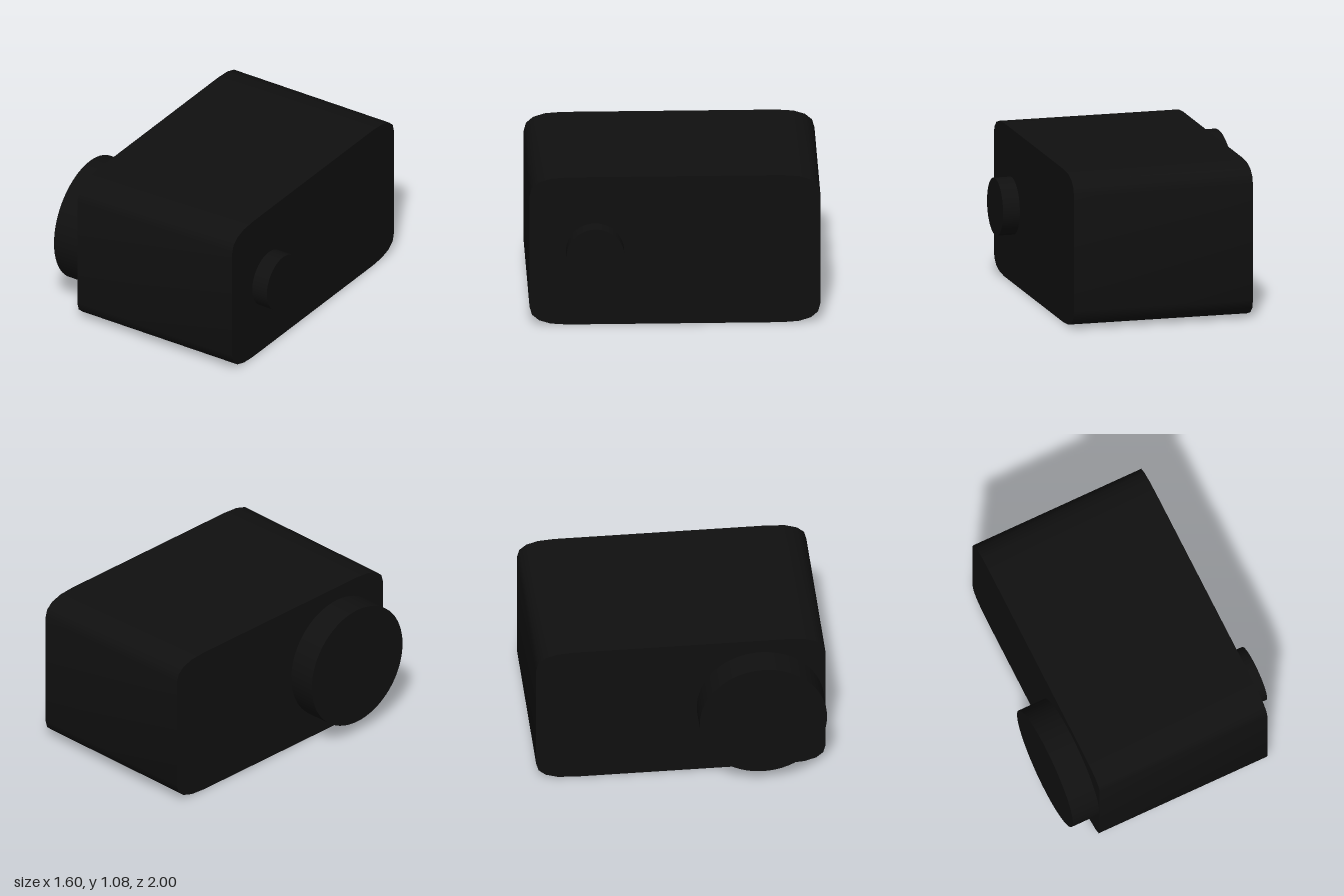
import * as THREE from 'three';
import { toCreasedNormals } from 'three/addons/utils/BufferGeometryUtils.js';

const black = new THREE.MeshStandardMaterial({ color: 0x101010 });

// Box with rounded long edges, running along x from x0 to x1
function bodyGeometry(x0, x1, height, halfDepth) {
  const cz = 0.26, cy = 0.135; // corner size along z and y
  const s = new THREE.Shape();
  s.moveTo(-halfDepth + cz, 0);
  s.lineTo(halfDepth - cz, 0);
  s.quadraticCurveTo(halfDepth, 0, halfDepth, cy);
  s.lineTo(halfDepth, height - cy);
  s.quadraticCurveTo(halfDepth, height, halfDepth - cz, height);
  s.lineTo(-halfDepth + cz, height);
  s.quadraticCurveTo(-halfDepth, height, -halfDepth, height - cy);
  s.lineTo(-halfDepth, cy);
  s.quadraticCurveTo(-halfDepth, 0, -halfDepth + cz, 0);
  const g = new THREE.ExtrudeGeometry(s, { depth: x1 - x0, bevelEnabled: false, curveSegments: 4 });
  g.rotateY(Math.PI / 2);
  g.translate(x0, 0, 0);
  return toCreasedNormals(g, 0.7);
}

// Disc with its axis along x, level with the middle of the body
function disc(name, x0, x1, radius) {
  const g = new THREE.CylinderGeometry(radius, radius, x1 - x0, 64);
  g.rotateZ(Math.PI / 2);
  const mesh = new THREE.Mesh(g, black);
  mesh.position.set((x0 + x1) / 2, 0.54, 0.55);
  mesh.name = name;
  return mesh;
}

export function createModel() {
  const group = new THREE.Group();
  group.name = 'roundedHousing';

  const body = new THREE.Mesh(bodyGeometry(-0.6, 0.68, 1.08, 1), black);
  body.name = 'body';
  group.add(body);

  // Large disc on the right side, small boss on the left
  group.add(disc('largeDisc', -0.8, -0.6, 0.44));
  group.add(disc('smallBoss', 0.68, 0.8, 0.2));
  return group;
}
